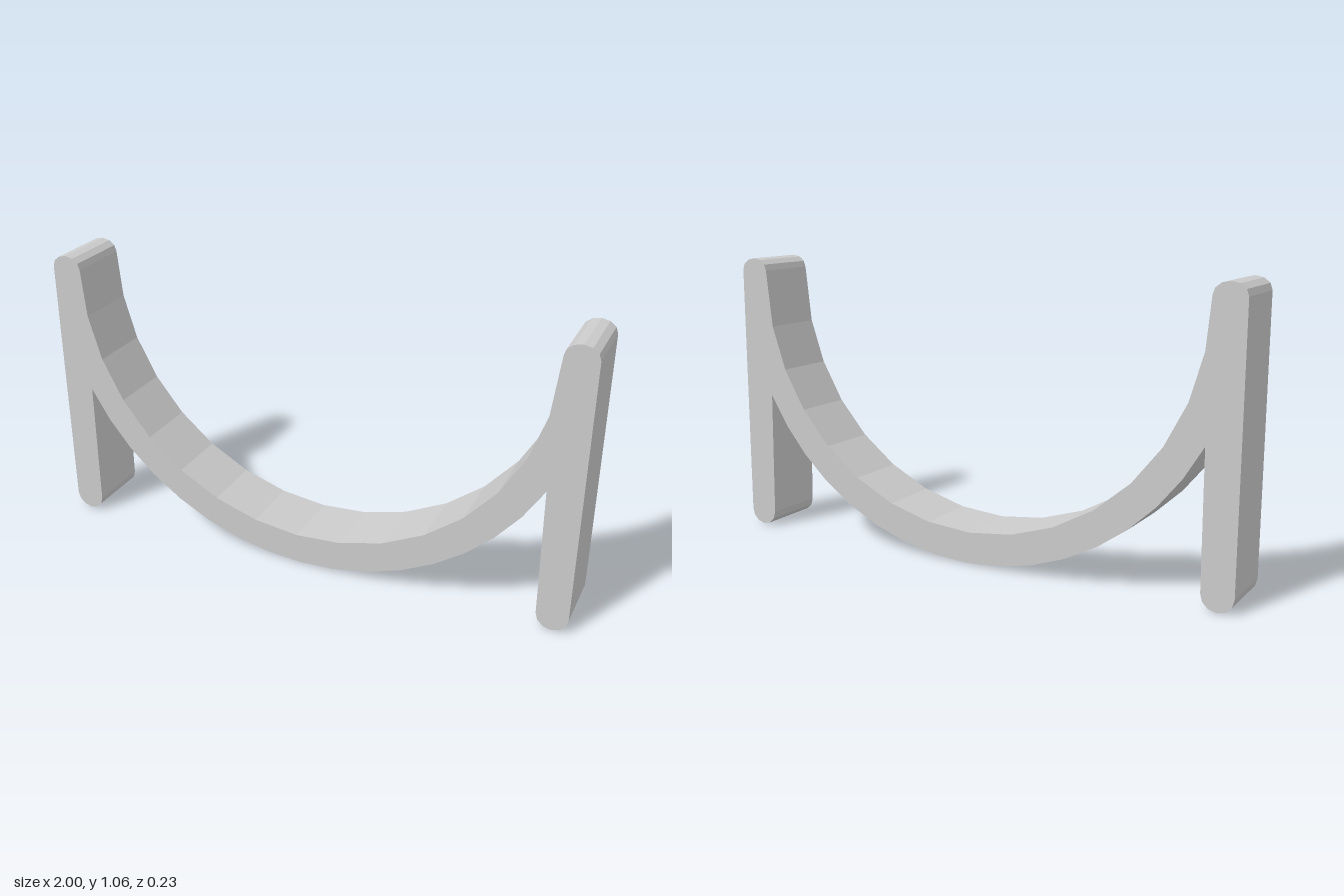
import * as THREE from 'three';

const DEPTH = 0.235;

// Points on an elliptical arc, angles in degrees
function arc(cx, cy, rx, ry, from, to, segments) {
  const points = [];
  for (let i = 0; i <= segments; i++) {
    const a = THREE.MathUtils.degToRad(from + ((to - from) * i) / segments);
    points.push(new THREE.Vector2(cx + rx * Math.cos(a), cy + ry * Math.sin(a)));
  }
  return points;
}

export function createModel() {
  const grey = new THREE.MeshStandardMaterial({ color: 0xcccccc, flatShading: true });
  grey.name = 'light grey';

  // One outline: two rounded posts joined by a hanging arch, counter-clockwise
  const post = 0.943, half = 0.057;
  const outline = [
    ...arc(0, 1, 0.995, 0.995, -152.5, -28, 16), // underside of the arch
    ...arc(post, 0.058, half, 0.055, 180, 360, 6), // left post foot
    ...arc(post, 1.015, half, 0.045, 0, 180, 6), // left post top
    ...arc(0, 1, 0.885, 0.88, -13, -169.5, 14), // upper side of the arch
    ...arc(-post, 1.015, half, 0.045, 0, 180, 6), // right post top
    ...arc(-post, 0.058, half, 0.055, 180, 360, 6), // right post foot
  ];

  const geometry = new THREE.ExtrudeGeometry(new THREE.Shape(outline), {
    depth: DEPTH,
    bevelEnabled: false,
  });
  geometry.translate(0, 0, -DEPTH / 2);

  const cradle = new THREE.Mesh(geometry, grey);
  cradle.name = 'archedCradle';

  const group = new THREE.Group();
  group.name = 'cradleStand';
  group.add(cradle);
  return group;
}
